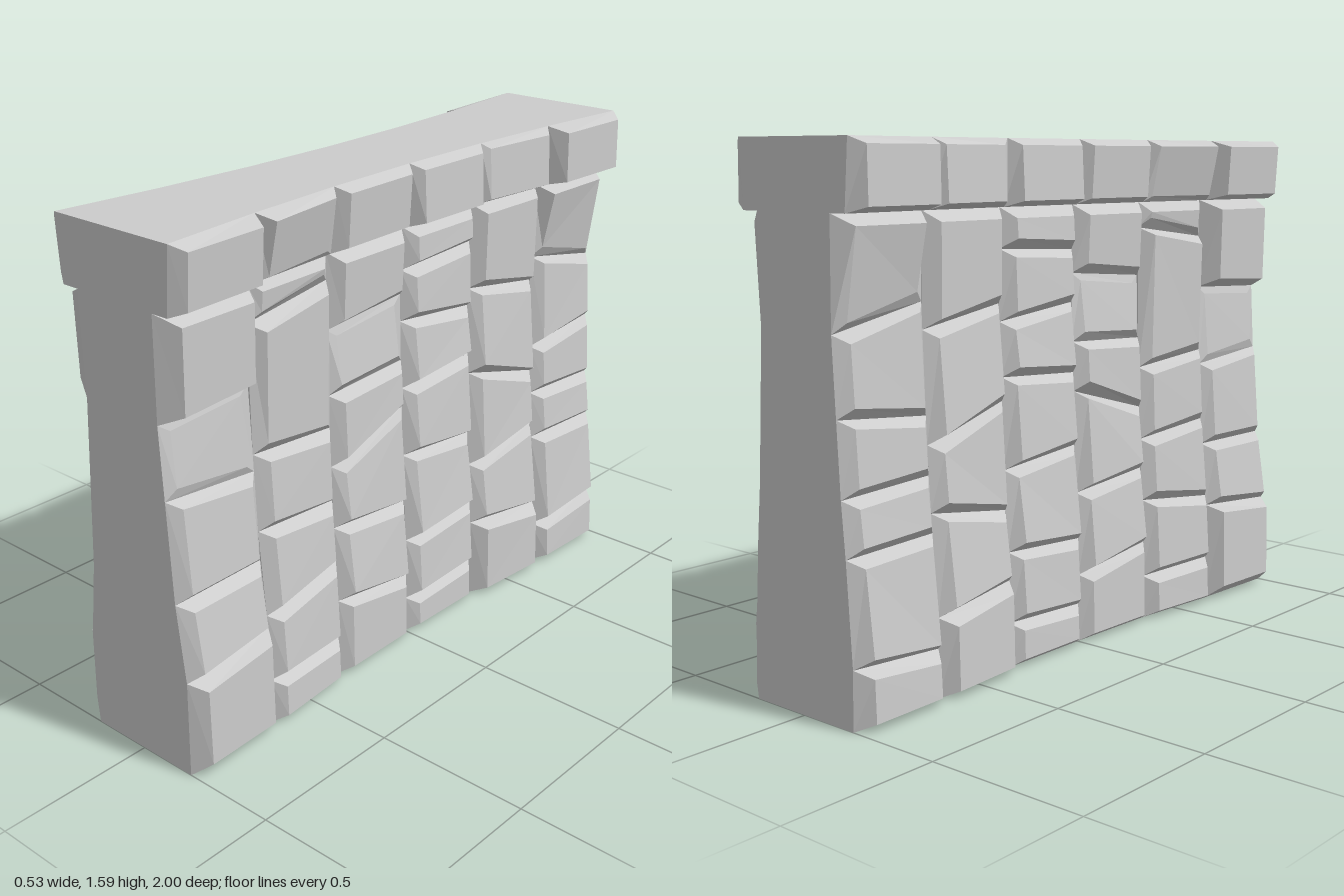
import * as THREE from 'three';

const material = new THREE.MeshStandardMaterial({ color: 0xcccccc, flatShading: true });

const SEAM_Y = 1.392, TOP = 1.59;
const columnEdges = [1, 0.665, 0.335, 0, -0.335, -0.665, -1];

// Each column: mortar seams [y at its +z edge, y at its -z edge]; how far each
// stone stands out [at its bottom, at its top]; the coping's half width at both
// edges and how much its foot is set back.
const columns = [
  { seams: [[0.31, 0.335], [0.55, 0.55], [0.86, 0.83], [1.08, 1.095]],
    out: [[0.058, 0.05], [0.042, 0.036], [0.036, 0.03], [0.012, 0.006], [0.07, 0.072]],
    cap: [0.262, 0.25], setBack: 0.01 },
  { seams: [[0.15, 0.145], [0.37, 0.405], [0.64, 0.61], [0.88, 0.85], [1.27, 1.31]],
    out: [[0.045, 0.04], [0.042, 0.034], [0.036, 0.036], [0.036, 0.034], [0.03, 0.045], [0.025, 0.03]],
    cap: [0.24, 0.203], setBack: 0.035 },
  { seams: [[0.265, 0.22], [0.515, 0.485], [0.72, 0.81], [0.95, 0.965], [1.155, 1.18]],
    out: [[0.04, 0.034], [0.042, 0.032], [0.045, 0.03], [0.038, 0.036], [0.025, 0.008], [0.04, 0.045]],
    cap: [0.205, 0.198], setBack: 0.01 },
  { seams: [[0.125, 0.14], [0.34, 0.36], [0.64, 0.61], [0.87, 0.89], [1.09, 1.055], [1.255, 1.27]],
    out: [[0.038, 0.034], [0.042, 0.03], [0.045, 0.03], [0.045, 0.032], [0.045, 0.034], [0.045, 0.036], [0.045, 0.04]],
    cap: [0.197, 0.2], setBack: -0.008 },
  { seams: [[0.275, 0.24], [0.49, 0.54], [0.82, 0.735], [1.11, 1.06]],
    out: [[0.058, 0.05], [0.042, 0.034], [0.042, 0.034], [0.045, 0.034], [0.045, 0.045]],
    cap: [0.185, 0.215], setBack: -0.008 },
  { seams: [[0.15, 0.175], [0.485, 0.475], [0.65, 0.635], [0.82, 0.85], [1.14, 1.075]],
    out: [[0.055, 0.048], [0.048, 0.036], [0.038, 0.034], [0.036, 0.034], [0.036, 0.034], [0.022, 0.06]],
    cap: [0.25, 0.26], setBack: -0.003 },
];

function lookup(table, v) {
  for (let i = 1; i < table.length; i++) {
    const [a, fa] = table[i - 1], [b, fb] = table[i];
    if (v <= b) return THREE.MathUtils.lerp(fa, fb, Math.max(0, (v - a) / (b - a)));
  }
  return table[table.length - 1][1];
}

// Half width of the wall at the mortar: tapers upward, waisted along its length
const taper = [[0, 0.2], [0.3, 0.205], [0.55, 0.173], [0.83, 0.157], [1.08, 0.143], [SEAM_Y, 0.147]];
const waist = [[0, 0.8], [0.335, 0.82], [0.665, 0.95], [1, 1]];
function mortar(y, z) {
  const full = THREE.MathUtils.clamp(1 - (y - 0.3) * 0.8, 0.55, 1);
  return lookup(taper, y) * (1 - (1 - lookup(waist, Math.abs(z))) * full);
}

// A stone is three rings of four corners (wall centre, mortar, face) joined by strips
function stoneGeometry(rings, side) {
  const positions = [];
  const quad = (a, b, c, d) => {
    const order = side > 0 ? [a, b, c, a, c, d] : [a, c, b, a, d, c];
    for (const [x, y, z] of order) positions.push(x * side, y, z);
  };
  for (let r = 0; r < 2; r++) {
    for (let i = 0; i < 4; i++) {
      const j = (i + 1) % 4;
      quad(rings[r][i], rings[r][j], rings[r + 1][j], rings[r + 1][i]);
    }
  }
  quad(...rings[2]);
  const geometry = new THREE.BufferGeometry();
  geometry.setAttribute('position', new THREE.Float32BufferAttribute(positions, 3));
  geometry.computeVertexNormals();
  return geometry;
}

// Corners run bottom +z, bottom -z, top -z, top +z.
// baseX and faceX give the half width from (y, z, isTop, edge), edge 0 being +z.
function stoneRings(z0, z1, bottom, top, bevel, insetZ, baseX, faceX) {
  const corners = [[bottom[0], z0, 0, 0], [bottom[1], z1, 0, 1], [top[1], z1, 1, 1], [top[0], z0, 1, 0]];
  return [
    corners.map(([y, z]) => [0, y, z]),
    corners.map(([y, z, isTop, edge]) => [baseX(y, z, isTop, edge), y, z]),
    corners.map(([y, z, isTop, edge]) => {
      const fy = isTop ? y - bevel[1] : y + bevel[0];
      const fz = edge ? z + insetZ : z - insetZ;
      return [faceX(fy, fz, isTop, edge), fy, fz];
    }),
  ];
}

export function createModel() {
  const wall = new THREE.Group();
  wall.name = 'stoneWall';

  for (const side of [1, -1]) {
    const half = new THREE.Group();
    half.name = side > 0 ? 'leftSide' : 'rightSide';
    wall.add(half);

    columns.forEach(({ seams, out, cap, setBack }, c) => {
      const z0 = columnEdges[c], z1 = columnEdges[c + 1];
      const column = new THREE.Group();
      column.name = `stoneColumn${c + 1}`;
      half.add(column);
      const add = (rings, name) => {
        const mesh = new THREE.Mesh(stoneGeometry(rings, side), material);
        mesh.name = name;
        column.add(mesh);
      };

      // Wall stones
      const levels = [[0, 0], ...seams, [SEAM_Y, SEAM_Y]];
      out.forEach((depth, r) => {
        const low = r > 0 ? 0.03 : c === 0 ? 0.045 : 0.025;
        const high = r === out.length - 1 ? 0.033 : 0.025;
        add(stoneRings(z0, z1, levels[r], levels[r + 1], [low, high], 0.037, mortar,
          (y, z, isTop) => mortar(y, z) + depth[isTop]), `stone${r + 1}`);
      });

      // Coping stone, meeting its neighbours at a common width on each edge
      const capBase = (y, z, isTop) => 0.16 + 0.06 * Math.abs(z) ** 2 - (isTop ? 0 : 0.015);
      add(stoneRings(z0, z1, [SEAM_Y, SEAM_Y], [TOP, TOP], [0.018, 0.02], 0.03, capBase,
        (y, z, isTop, edge) => cap[edge] - (isTop ? 0 : setBack)), 'copingStone');
    });
  }
  return wall;
}
